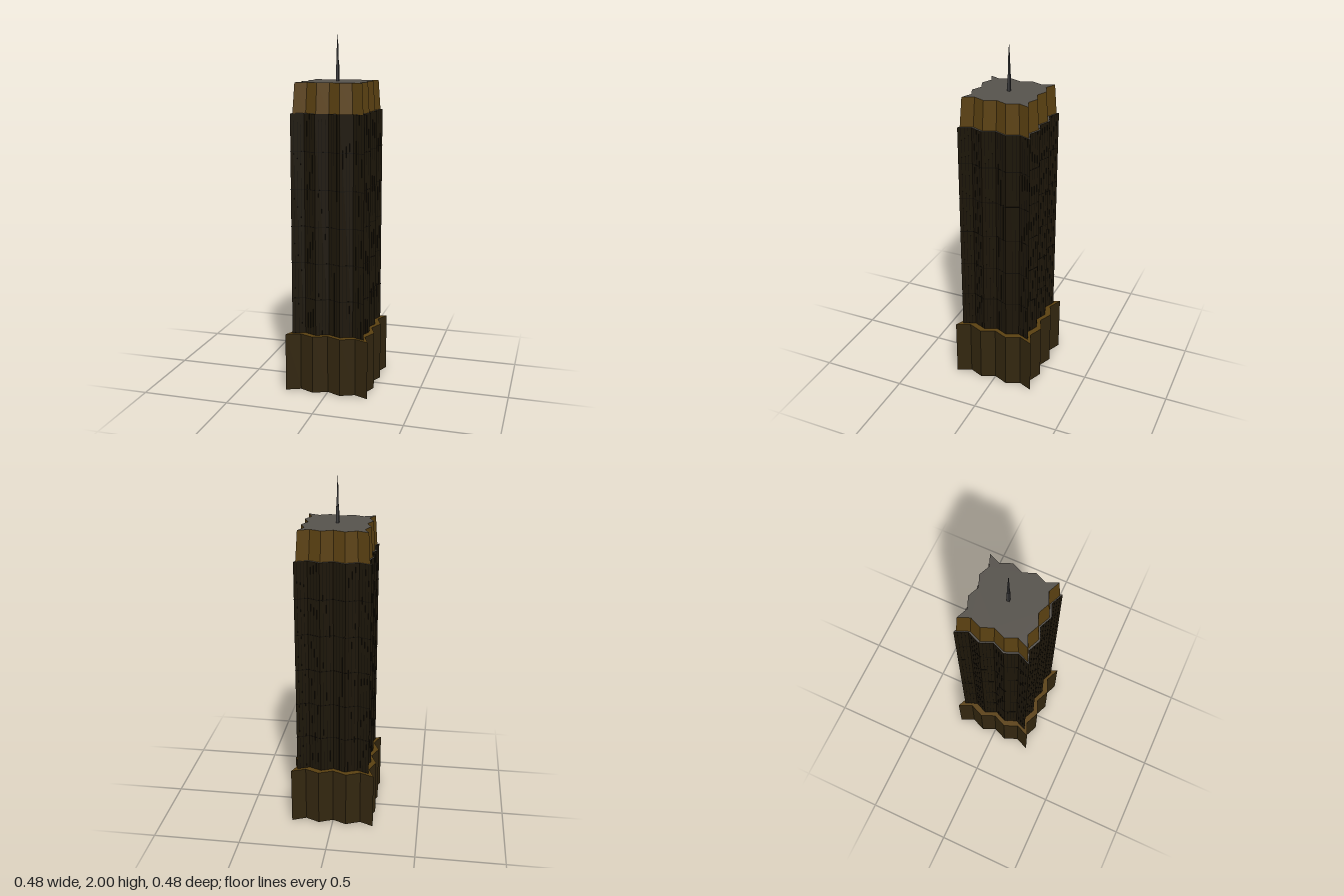
import * as THREE from 'three';

const mat = (name, color) => {
  const m = new THREE.MeshStandardMaterial({ color });
  m.name = name;
  return m;
};

// Zigzag square outline: three pleats per side, corners at (±r, ±r)
function pleatedOutline(r) {
  const points = [];
  for (let side = 0; side < 4; side++) {
    for (let i = 0; i < 6; i++) {
      const p = new THREE.Vector2(-r + (i * r) / 3, i % 2 ? -r * 0.857 : -r);
      points.push(p.rotateAround(new THREE.Vector2(), (side * Math.PI) / 2));
    }
  }
  return points;
}

// Pleated prism from y0 to y1, tapering from half-width r0 to r1
function pleatedBlock(name, r0, r1, y0, y1, capMat, sideMat) {
  const geo = new THREE.ExtrudeGeometry(new THREE.Shape(pleatedOutline(r0)), {
    depth: y1 - y0, bevelEnabled: false,
  });
  geo.rotateX(-Math.PI / 2);
  const pos = geo.attributes.position;
  for (let i = 0; i < pos.count; i++) {
    const k = pos.getY(i) > (y1 - y0) / 2 ? r1 / r0 : 1;
    pos.setXYZ(i, pos.getX(i) * k, pos.getY(i) + y0, pos.getZ(i) * k);
  }
  geo.computeVertexNormals();
  const mesh = new THREE.Mesh(geo, [capMat, sideMat]);
  mesh.name = name;
  return mesh;
}

export function createModel() {
  const gold = mat('bronze gold', 0x5a4011);
  const brown = mat('dark brown', 0x32260f);
  const glass = mat('dark glass', 0x1c1508);
  const seam = mat('seam black', 0x0f0b04);
  const roof = mat('roof grey', 0x56524c);
  const metal = mat('antenna grey', 0x3a3a3b);

  const model = new THREE.Group();
  model.name = 'skyscraper';

  // Main stacked volumes
  const bottom = 0.335, top = 1.585, rBody = 0.208;
  model.add(
    pleatedBlock('foundation', 0.24, 0.24, 0, 0.01, brown, brown),
    pleatedBlock('base', 0.24, 0.24, 0.01, bottom, gold, brown),
    pleatedBlock('shaft', rBody, rBody, bottom, top, roof, glass),
    pleatedBlock('crown', 0.198, 0.188, top, 1.75, roof, gold),
  );

  // Thin seams between the six stacked bays of the shaft
  const bays = 6;
  for (let i = 1; i < bays; i++) {
    const y = bottom + ((top - bottom) * i) / bays;
    model.add(pleatedBlock('floorSeam', rBody + 0.001, rBody + 0.001, y - 0.002, y + 0.002, seam, seam));
  }

  // Fine vertical mullions on every pleat
  const outline = pleatedOutline(rBody);
  const mullion = new THREE.BoxGeometry(0.002, top - bottom, 0.002);
  const mullions = new THREE.Group();
  mullions.name = 'mullions';
  outline.forEach((a, i) => {
    const b = outline[(i + 1) % outline.length];
    for (const t of [0.25, 0.5, 0.75]) {
      const m = new THREE.Mesh(mullion, seam);
      m.name = 'mullion';
      m.position.set(a.x + (b.x - a.x) * t, (bottom + top) / 2, a.y + (b.y - a.y) * t);
      m.rotation.y = -Math.atan2(b.y - a.y, b.x - a.x);
      mullions.add(m);
    }
  });
  model.add(mullions);

  // Square stepped antenna: [half-width bottom, half-width top, y0, y1]
  const antenna = new THREE.Group();
  antenna.name = 'antenna';
  for (const [r0, r1, y0, y1] of [
    [0.008, 0.007, 1.75, 1.84],
    [0.005, 0.004, 1.84, 1.94],
    [0.003, 0.001, 1.94, 2],
  ]) {
    const geo = new THREE.CylinderGeometry(r1 * Math.SQRT2, r0 * Math.SQRT2, y1 - y0, 4).toNonIndexed();
    geo.rotateY(Math.PI / 4);
    geo.computeVertexNormals();
    const part = new THREE.Mesh(geo, metal);
    part.name = 'antennaStage';
    part.position.y = (y0 + y1) / 2;
    antenna.add(part);
  }
  model.add(antenna);
  return model;
}
